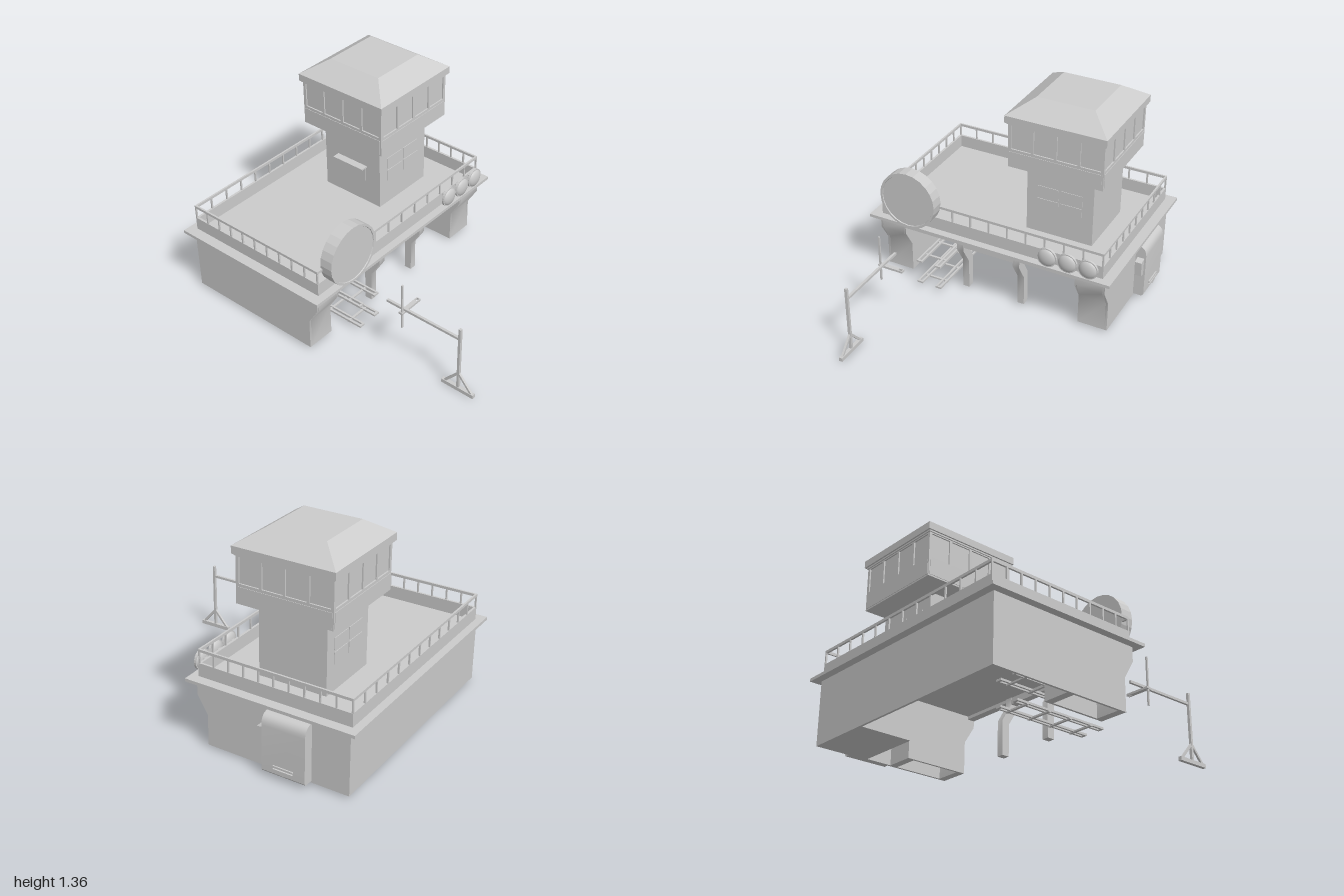
import * as THREE from 'three';
import { toCreasedNormals } from 'three/addons/utils/BufferGeometryUtils.js';

const mat = new THREE.MeshStandardMaterial({ color: 0xcccccc, side: THREE.DoubleSide });
const flat = new THREE.MeshStandardMaterial({ color: 0xcccccc, flatShading: true, side: THREE.DoubleSide });

export function createModel() {
  const root = new THREE.Group();
  const group = (name, parent = root) => {
    const g = new THREE.Group();
    g.name = name;
    parent.add(g);
    return g;
  };
  const add = (name, geo, parent = root, m = flat) => {
    const mesh = new THREE.Mesh(geo, m);
    mesh.name = name;
    parent.add(mesh);
    return mesh;
  };
  // box given by its extents
  const box = (name, x0, x1, y0, y1, z0, z1, parent) => {
    const g = new THREE.BoxGeometry(x1 - x0, y1 - y0, z1 - z0);
    g.translate((x0 + x1) / 2, (y0 + y1) / 2, (z0 + z1) / 2);
    return add(name, g, parent);
  };
  // side profile of [z, y] points swept from x0 to x1, gentle bends smoothed
  const sweep = (name, pts, x0, x1, parent) => {
    const shape = new THREE.Shape(pts.map(p => new THREE.Vector2(p[0], p[1])));
    const g = new THREE.ExtrudeGeometry(shape, { depth: x1 - x0, bevelEnabled: false });
    g.rotateY(-Math.PI / 2).translate(x1, 0, 0);
    return add(name, toCreasedNormals(g, 0.8), parent, mat);
  };
  // square bar between two points
  const bar = (name, a, b, t, parent) => {
    const A = new THREE.Vector3(...a), B = new THREE.Vector3(...b);
    const m = add(name, new THREE.BoxGeometry(t, t, A.distanceTo(B)), parent);
    m.position.copy(A).add(B).multiplyScalar(0.5);
    m.lookAt(B);
    return m;
  };
  // square frustum centred on the tower axis
  const TX = 0.33, TZ = -0.44;
  const frustum = (name, h0, h1, y0, y1, parent) => {
    const g = new THREE.CylinderGeometry(h1 * Math.SQRT2, h0 * Math.SQRT2, y1 - y0, 4);
    g.rotateY(Math.PI / 4).translate(TX, (y0 + y1) / 2, TZ);
    return add(name, g, parent);
  };

  // Hollow ground floor, open at the front and underneath
  const base = group('groundFloor');
  const flare = [[0, 0.015], [0, 0.22], [0.07, 0.335], [0.07, 0.43]];
  const wall = [[-0.95, 0.015], ...flare, [-0.95, 0.43]];
  const leg = [[-0.05, 0.015], ...flare.slice(0, 3), [0.07, 0.4], [0.015, 0.4], [0.015, 0.35], [-0.05, 0.24]];
  sweep('leftWall', wall, 0.757, 0.772, base);
  sweep('rightWall', wall, -0.807, -0.792, base);
  box('backWall', -0.807, 0.772, 0.015, 0.43, -0.95, -0.935, base);
  box('ceiling', -0.8, 0.765, 0.4, 0.43, -0.94, 0.07, base);
  box('lintel', -0.62, 0.575, 0.38, 0.43, 0.02, 0.07, base);
  box('shutterBox', -0.195, 0.155, 0.355, 0.385, 0.015, 0.06, base);
  box('storeRoom', 0.33, 0.76, 0.015, 0.4, -0.937, -0.6, base);
  for (const x of [-0.24, 0.155]) sweep('bayColumn', leg, x, x + 0.045, base);

  // Hollow piers at the front corners: front, inner side and back
  for (const [x0, x1, inner] of [[-0.795, -0.62, -0.635], [0.575, 0.76, 0.575]]) {
    const pier = group('pier', base);
    sweep('pierFront', leg, x0, x1, pier);
    sweep('pierInnerWall', [[-0.43, 0.015], ...flare.slice(0, 3), [0.07, 0.41], [-0.43, 0.41]],
      inner, inner + 0.015, pier);
    box('pierBack', x0, x1, 0.015, 0.41, -0.43, -0.38, pier);
  }

  // Two levels of rails inside the first bay
  for (const y of [0.035, 0.195]) {
    const rails = group('railRack');
    for (const x of [-0.505, -0.37])
      for (const dx of [0, 0.028])
        box('rail', x + dx, x + dx + 0.012, y, y + 0.013, -0.52, 0.135, rails);
    for (const x of [-0.505, -0.37])
      for (const z of [-0.52, 0.12]) box('railEnd', x, x + 0.04, y, y + 0.012, z, z + 0.015, rails);
    for (let i = 0; i < 4; i++) {
      const z = -0.45 + i * 0.16;
      box('railTie', -0.505, -0.33, y - 0.004, y + 0.006, z, z + 0.015, rails);
    }
  }

  // Roof slab, parapet and railing
  box('roofSlab', -0.857, 0.82, 0.425, 0.445, -1, 0.12);
  const X0 = -0.79, X1 = 0.755, Z0 = -0.95, Z1 = 0.07;
  const ring = (name, t, y0, y1, parent) => {
    for (const z of [Z0, Z1 - t]) box(name, X0, X1, y0, y1, z, z + t, parent);
    for (const x of [X0, X1 - t]) box(name, x, x + t, y0, y1, Z0 + t, Z1 - t, parent);
  };
  ring('parapet', 0.015, 0.445, 0.53, group('parapetWalls'));
  const railing = group('railing');
  ring('handRail', 0.012, 0.603, 0.62, railing);
  const post = (x, z) => box('railingPost', x, x + 0.01, 0.525, 0.605, z, z + 0.01, railing);
  for (let i = 0; i <= 12; i++)
    for (const z of [Z0, Z1 - 0.011]) post(X0 + (X1 - X0 - 0.011) * i / 12, z);
  for (let i = 1; i < 10; i++)
    for (const x of [X0, X1 - 0.011]) post(x, Z0 + (Z1 - Z0 - 0.011) * i / 10);

  // Control tower
  const tower = group('tower');
  frustum('shaft', 0.225, 0.225, 0.44, 0.88, tower);
  frustum('cabFlare', 0.225, 0.315, 0.87, 0.915, tower);
  frustum('cabCore', 0.306, 0.306, 0.915, 1.22, tower);
  frustum('cabSill', 0.315, 0.315, 0.915, 1.04, tower);
  frustum('cabHead', 0.315, 0.315, 1.2, 1.21, tower);
  frustum('eaveTrim', 0.322, 0.322, 1.208, 1.22, tower);
  frustum('eave', 0.332, 0.332, 1.218, 1.265, tower);
  frustum('roof', 0.332, 0.19, 1.265, 1.36, tower);
  for (let s = 0; s < 4; s++) {
    const side = group('cabWindows', tower);
    side.position.set(TX, 0, TZ);
    side.rotation.y = s * Math.PI / 2;
    for (let i = 0; i <= 4; i++) {
      const x = -0.306 + i * 0.153;
      box('mullion', x - 0.009, x + 0.009, 1.03, 1.2, 0.295, 0.315, side);
    }
    box('sillPanel', -0.305, 0.305, 0.925, 1.022, 0.305, 0.318, side);
  }
  // divided windows on the front and back of the shaft
  for (const z of [TZ + 0.225, TZ - 0.225])
    for (const x of [0.175, 0.335])
      for (const y of [0.615, 0.705])
        box('shaftWindow', x, x + 0.145, y, y + 0.075, z - 0.004, z + 0.004, tower);
  box('sideHatch', 0.1, 0.11, 0.6, 0.705, -0.55, -0.33, tower);
  box('awning', 0.055, 0.11, 0.703, 0.713, -0.56, -0.32, tower);

  // Round dish on the front parapet
  const dish = group('dish');
  dish.position.set(-0.555, 0.64, 0.1);
  const dishPts = [[0, -0.042], [0.195, -0.042], [0.195, 0.042], [0.18, 0.042], [0.178, 0.036], [0, 0.036]];
  add('dishDrum', new THREE.LatheGeometry(dishPts.map(p => new THREE.Vector2(...p)), 24), dish)
    .rotation.x = Math.PI / 2;

  // Row of three floodlights
  for (const x of [0.403, 0.538, 0.673]) {
    const lamp = group('floodlight');
    lamp.position.set(x, 0.51, 0.108);
    const rim = add('lampRim', new THREE.CylinderGeometry(0.065, 0.065, 0.014, 24), lamp);
    rim.rotation.x = Math.PI / 2;
    const lens = add('lampLens', new THREE.SphereGeometry(0.06, 24, 14), lamp, mat);
    lens.scale.z = 0.45;
    box('lampMount', -0.015, 0.015, -0.015, 0.015, -0.04, -0.01, lamp);
  }

  // Cabinet on the left wall
  const cab = group('cabinet');
  const c = new THREE.Shape();
  c.moveTo(0.76, 0.026);
  c.lineTo(0.83, 0.026);
  c.lineTo(0.842, 0.04);
  c.lineTo(0.842, 0.33);
  c.quadraticCurveTo(0.842, 0.4, 0.775, 0.4);
  c.lineTo(0.76, 0.4);
  const cg = new THREE.ExtrudeGeometry(c, { depth: 0.285, bevelEnabled: false, curveSegments: 6 });
  add('cabinetBody', toCreasedNormals(cg.translate(0, 0, -0.707), 0.6), cab, mat);
  sweep('cabinetScreen', [[-0.43, 0.19], [-0.385, 0.2], [-0.38, 0.3], [-0.43, 0.315]], 0.785, 0.83, cab);
  box('cabinetSlot', 0.835, 0.85, 0.082, 0.094, -0.63, -0.5, cab);
  sweep('cabinetHandle', [[-0.63, 0.075], [-0.565, 0.045], [-0.5, 0.075]], 0.835, 0.852, cab);

  // Free-standing signal boom in front
  const boom = group('signalBoom');
  const bx = -0.515;
  box('foot', bx - 0.012, bx + 0.012, 0, 0.025, 0.775, 1, boom);
  box('mast', bx - 0.009, bx + 0.009, 0.02, 0.465, 0.88, 0.896, boom);
  for (const s of [-1, 1])
    bar('footBrace', [bx, 0.02, 0.888 + s * 0.095], [bx, 0.13, 0.888], 0.014, boom);
  box('arm', bx - 0.008, bx + 0.008, 0.384, 0.4, 0.36, 0.89, boom);
  box('hangingRod', -0.545, -0.533, 0.27, 0.585, 0.485, 0.495, boom);
  box('crossArm', -0.55, -0.41, 0.372, 0.386, 0.472, 0.5, boom);
  for (const z of [0.472, 0.494]) box('crossLoop', -0.41, -0.38, 0.372, 0.386, z, z + 0.006, boom);
  box('crossLoopEnd', -0.386, -0.38, 0.372, 0.386, 0.472, 0.5, boom);

  return root;
}
